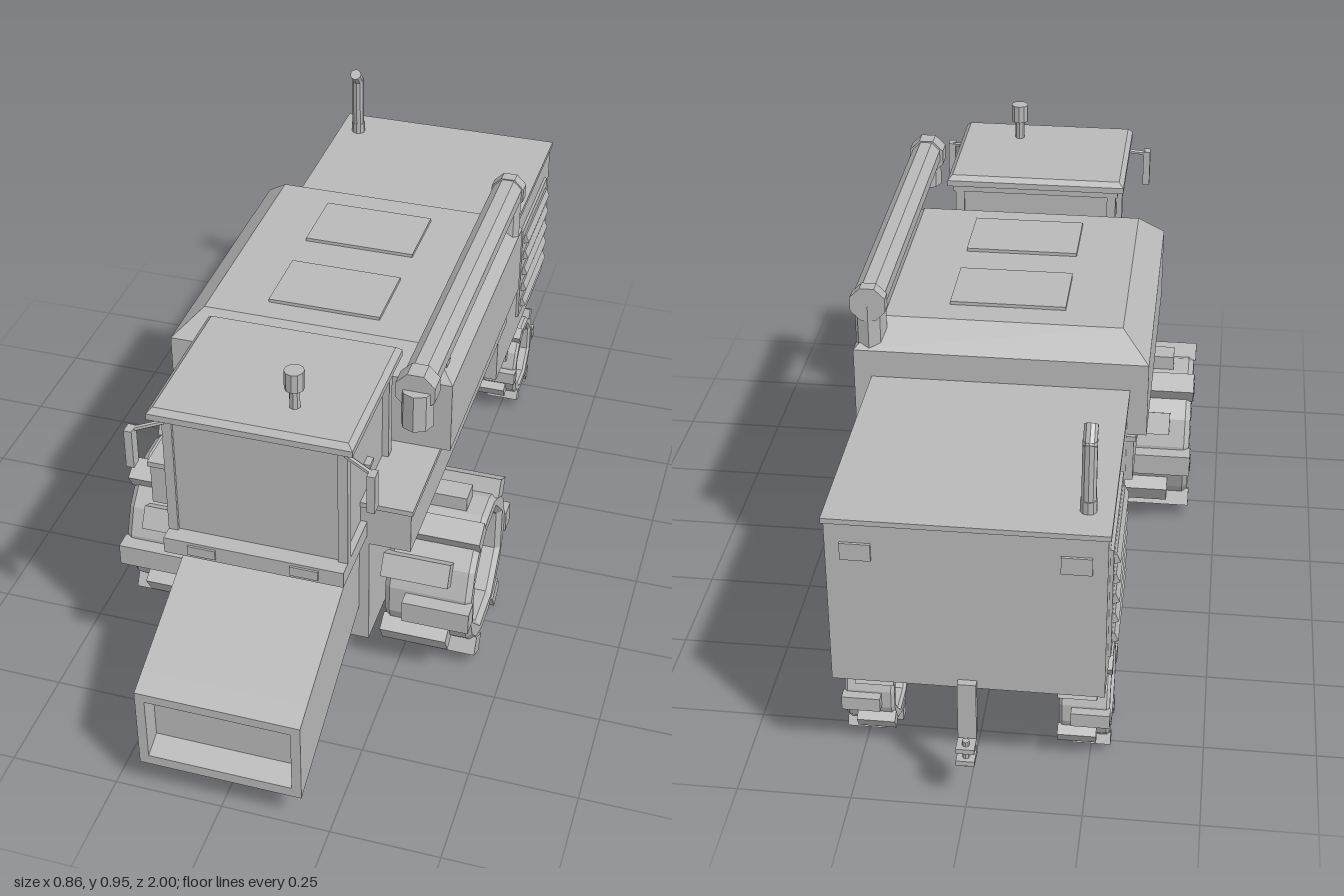
import * as THREE from 'three';

const paint = new THREE.MeshStandardMaterial({ color: 0xb8b8b8 });
paint.name = 'plain grey';

function add(parent, name, geometry, x = 0, y = 0, z = 0) {
  const m = new THREE.Mesh(geometry.index ? geometry.toNonIndexed() : geometry, paint);
  m.name = name;
  m.geometry.computeVertexNormals();
  m.position.set(x, y, z);
  parent.add(m);
  return m;
}

// Box given by its lower and upper limits
function box(parent, name, x0, x1, y0, y1, z0, z1) {
  return add(parent, name, new THREE.BoxGeometry(x1 - x0, y1 - y0, z1 - z0),
    (x0 + x1) / 2, (y0 + y1) / 2, (z0 + z1) / 2);
}

function cyl(parent, name, r, len, sides, x, y, z, axis = 'y') {
  const g = new THREE.CylinderGeometry(r, r, len, sides);
  if (axis === 'x') g.rotateZ(Math.PI / 2);
  if (axis === 'z') g.rotateX(Math.PI / 2);
  return add(parent, name, g, x, y, z);
}

// Straight rod between two points
function rod(parent, name, a, b, r, sides = 8) {
  const p = new THREE.Vector3(...a), d = new THREE.Vector3(...b).sub(p);
  const m = add(parent, name, new THREE.CylinderGeometry(r, r, d.length(), sides));
  m.position.copy(p).addScaledVector(d, 0.5);
  m.quaternion.setFromUnitVectors(new THREE.Vector3(0, 1, 0), d.normalize());
  return m;
}

function ring(n, r) {
  return Array.from({ length: n }, (_, i) => {
    const a = ((i + 0.5) / n) * Math.PI * 2;
    return new THREE.Vector2(Math.cos(a) * r, Math.sin(a) * r);
  });
}

// Wheel with hollow rim, hub and staggered lugs; x is the axle
function wheel(name, R, width, x, z) {
  const g = new THREE.Group();
  g.name = name;
  const tread = R * 0.85;
  const shape = new THREE.Shape(ring(16, tread));
  shape.holes.push(new THREE.Path(ring(8, R * 0.66)));
  const tyre = new THREE.ExtrudeGeometry(shape, {
    depth: width * 0.84, bevelEnabled: true, bevelThickness: width * 0.06,
    bevelSize: R * 0.05, bevelOffset: -R * 0.05, bevelSegments: 1 });
  tyre.translate(0, 0, -width * 0.42).rotateY(Math.PI / 2);
  add(g, 'tyre', tyre);
  cyl(g, 'rimDisc', R * 0.68, width * 0.35, 8, 0, 0, 0, 'x').rotation.x = Math.PI / 8;
  cyl(g, 'hub', R * 0.23, width * 0.6, 10, 0, 0, 0, 'x');
  for (let i = 0; i < 12; i++) {
    const a = (i / 12) * Math.PI * 2, r = R * 0.895;
    const lug = add(g, 'lug', new THREE.BoxGeometry(width * 0.74, R * 0.21, R * 0.26),
      width * 0.13 * (i % 2 ? 1 : -1) * Math.sign(x), Math.cos(a) * r, Math.sin(a) * r);
    lug.rotation.x = a;
  }
  g.position.set(x, R, z);
  return g;
}

// Box whose top edges are pulled inwards
function taperedBox(w, h, d, insetX, insetZ) {
  const geo = new THREE.BoxGeometry(w, h, d), p = geo.attributes.position;
  for (let i = 0; i < p.count; i++) {
    if (p.getY(i) < 0) continue;
    p.setX(i, p.getX(i) - Math.sign(p.getX(i)) * insetX);
    p.setZ(i, p.getZ(i) - Math.sign(p.getZ(i)) * insetZ);
  }
  return geo;
}

export function createModel() {
  const model = new THREE.Group();
  model.name = 'combineHarvester';
  const section = (name) => {
    const g = new THREE.Group();
    g.name = name;
    model.add(g);
    return g;
  };

  // Chassis and side band
  const body = section('body');
  box(body, 'chassis', -0.21, 0.21, 0.17, 0.46, -0.38, 0.565);
  box(body, 'sideBand', -0.305, 0.305, 0.455, 0.56, -0.375, 0.565);
  box(body, 'bandLip', -0.31, 0.31, 0.56, 0.573, -0.38, 0.57);

  // Grain tank with sloped shoulders and two hatches
  const tank = section('grainTank');
  box(tank, 'tankWall', -0.333, 0.333, 0.573, 0.752, -0.37, 0.335);
  add(tank, 'tankShoulder', taperedBox(0.666, 0.06, 0.705, 0.063, 0.06), 0, 0.782, -0.0175);
  box(tank, 'rearHatch', -0.135, 0.13, 0.81, 0.82, -0.24, -0.065);
  box(tank, 'frontHatch', -0.135, 0.13, 0.81, 0.82, 0.04, 0.215);

  // Engine housing with louvred side panels and rear lamps
  const engine = section('engineHousing');
  box(engine, 'housing', -0.288, 0.288, 0.28, 0.68, -0.945, -0.365);
  box(engine, 'lid', -0.293, 0.293, 0.675, 0.687, -0.95, -0.365);
  for (const s of [-1, 1]) {
    const panel = box(engine, 'ventPanel', -0.004, 0.004, 0.34, 0.61, -0.885, -0.585);
    panel.position.x = s * 0.291;
    for (let i = 0; i < 5; i++) {
      const slat = add(engine, 'ventSlat', new THREE.BoxGeometry(0.018, 0.022, 0.26),
        s * 0.296, 0.375 + i * 0.05, -0.735);
      slat.rotation.z = s * 0.4;
    }
    box(engine, 'rearLamp', s * 0.225 - 0.032, s * 0.225 + 0.032, 0.59, 0.63, -0.951, -0.94);
  }
  cyl(engine, 'exhaustBase', 0.018, 0.03, 10, -0.24, 0.7, -0.86);
  rod(engine, 'exhaustPipe', [-0.24, 0.68, -0.86], [-0.24, 0.85, -0.855], 0.016, 10);
  rod(engine, 'exhaustTip', [-0.24, 0.838, -0.862], [-0.24, 0.873, -0.832], 0.015, 10);

  // Cab
  const cab = section('cab');
  box(cab, 'platform', -0.205, 0.205, 0.478, 0.518, 0.37, 0.745);
  box(cab, 'cabGlass', -0.19, 0.19, 0.515, 0.83, 0.38, 0.705);
  box(cab, 'roofRail', -0.21, 0.21, 0.82, 0.838, 0.37, 0.725);
  box(cab, 'roof', -0.225, 0.225, 0.835, 0.85, 0.365, 0.745);
  add(cab, 'roofCap', taperedBox(0.45, 0.012, 0.38, 0.012, 0.012), 0, 0.856, 0.555);
  cyl(cab, 'beaconStem', 0.012, 0.06, 8, 0.07, 0.885, 0.645);
  cyl(cab, 'beacon', 0.022, 0.045, 10, 0.07, 0.932, 0.645);
  for (const s of [-1, 1]) {
    for (const z of [0.385, 0.7]) {
      box(cab, 'pillar', s * 0.194 - 0.011, s * 0.194 + 0.011, 0.515, 0.825, z - 0.012, z + 0.012);
    }
    box(cab, 'stepLamp', s * 0.117 - 0.032, s * 0.117 + 0.032, 0.487, 0.511, 0.74, 0.75);
    box(cab, 'doorHandle', s * 0.195 - 0.01, s * 0.195 + 0.01, 0.65, 0.66, 0.515, 0.545);
    rod(cab, 'mirrorArm', [s * 0.2, 0.81, 0.71], [s * 0.268, 0.793, 0.735], 0.006, 6);
    box(cab, 'mirror', s * 0.266 - 0.009, s * 0.266 + 0.009, 0.705, 0.8, 0.725, 0.752);
  }

  // Sloping feeder house, open at the front
  const feeder = section('feederHouse');
  const slope = 0.41;
  const rect = (Type, w, y0, y1) => new Type([[-w, y0], [w, y0], [w, y1], [-w, y1]]
    .map(([x, y]) => new THREE.Vector2(x, y)));
  const sheared = (shape, z0, z1) => {
    const geo = new THREE.ExtrudeGeometry(shape, { depth: z1 - z0, bevelEnabled: false });
    geo.translate(0, 0, z0);
    const p = geo.attributes.position;
    for (let i = 0; i < p.count; i++) p.setY(i, p.getY(i) + (1 - p.getZ(i)) * slope);
    return geo;
  };
  const mouth = rect(THREE.Shape, 0.187, 0.085, 0.295);
  mouth.holes.push(rect(THREE.Path, 0.165, 0.11, 0.273));
  add(feeder, 'feederMouth', sheared(mouth, 0.95, 1));
  add(feeder, 'feederDuct', sheared(rect(THREE.Shape, 0.187, 0.085, 0.295), 0.53, 0.95));

  // Unloading auger folded along the left side
  const auger = section('auger');
  cyl(auger, 'augerTube', 0.038, 0.87, 8, 0.297, 0.867, 0.08, 'z').rotation.z = Math.PI / 8;
  cyl(auger, 'rearCollar', 0.043, 0.03, 8, 0.297, 0.865, -0.35, 'z').rotation.z = Math.PI / 8;
  cyl(auger, 'frontCollar', 0.047, 0.045, 8, 0.297, 0.862, 0.505, 'z').rotation.z = Math.PI / 8;
  cyl(auger, 'spout', 0.036, 0.09, 8, 0.3, 0.82, 0.515);
  cyl(auger, 'elbow', 0.036, 0.14, 8, 0.297, 0.79, -0.33);
  box(auger, 'support', 0.285, 0.31, 0.74, 0.84, 0.27, 0.3);

  // Wheels and axles
  const gear = section('runningGear');
  for (const s of [-1, 1]) {
    gear.add(wheel('frontWheel', 0.214, 0.215, s * 0.322, 0.29));
    gear.add(wheel('rearWheel', 0.13, 0.115, s * 0.237, -0.715));
  }
  cyl(gear, 'frontAxle', 0.045, 0.6, 12, 0, 0.214, 0.29, 'x');
  cyl(gear, 'rearAxle', 0.017, 0.44, 8, 0, 0.13, -0.715, 'x');
  box(gear, 'axlePivot', -0.03, 0.03, 0.11, 0.285, -0.737, -0.693);

  // Rear hitch
  const hitch = section('hitch');
  box(hitch, 'hitchBar', -0.02, 0.02, 0.11, 0.3, -0.962, -0.943);
  for (const y of [0.12, 0.152]) box(hitch, 'hitchJaw', -0.02, 0.02, y - 0.006, y + 0.006, -1, -0.955);
  cyl(hitch, 'hitchPin', 0.008, 0.065, 8, 0, 0.137, -0.983);

  return model;
}
